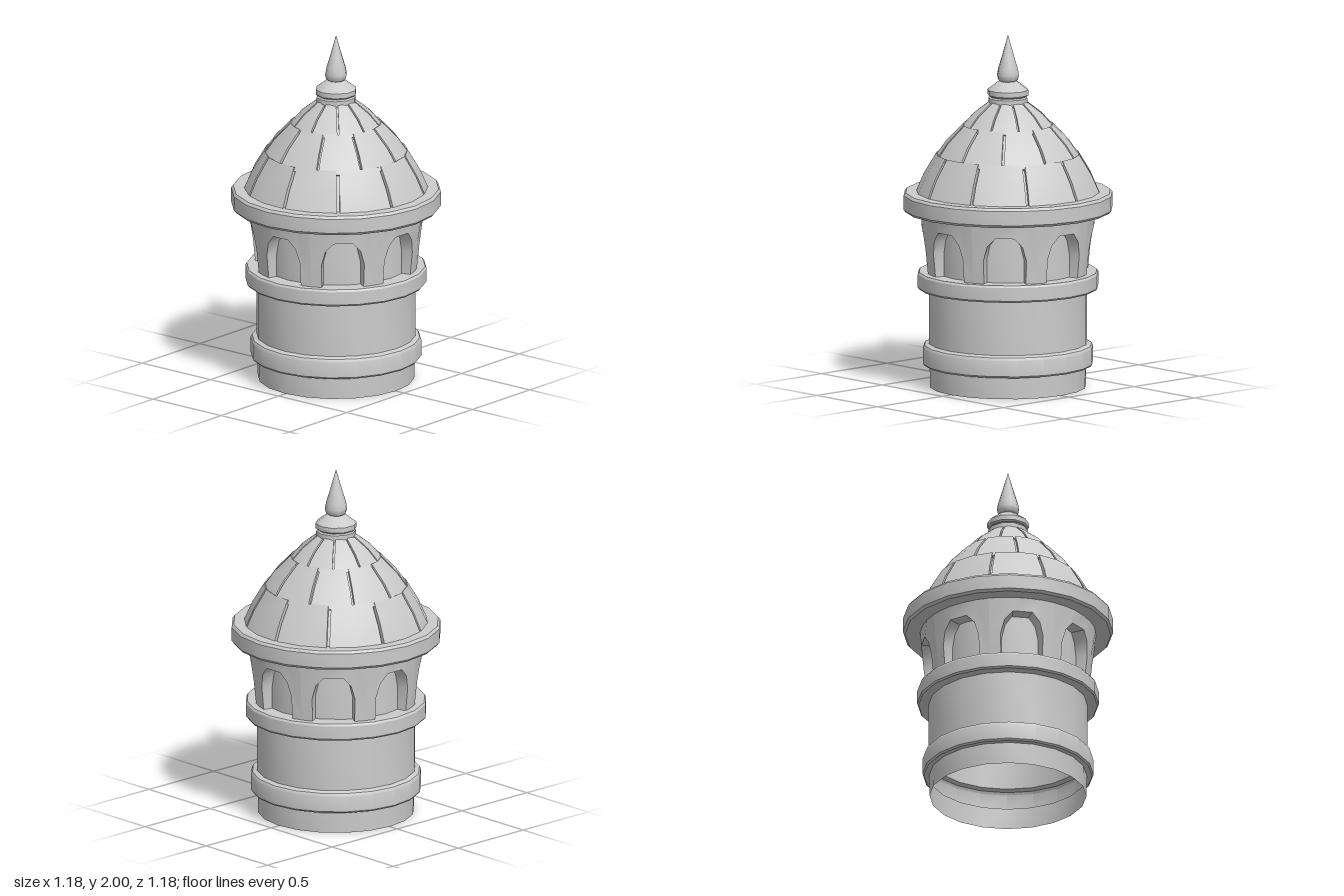
import * as THREE from 'three';
import { toCreasedNormals } from 'three/addons/utils/BufferGeometryUtils.js';

const SIDES = 20;
const material = new THREE.MeshStandardMaterial({ color: 0xcccccc, side: THREE.DoubleSide });

function part(name, geometry, crease = 0.55) {
  const mesh = new THREE.Mesh(toCreasedNormals(geometry, crease), material);
  mesh.name = name;
  return mesh;
}

// Turned part from [radius, height] pairs, listed bottom to top
function turned(name, points, sides = SIDES, crease) {
  const profile = points.map(([r, y]) => new THREE.Vector2(r, y));
  return part(name, new THREE.LatheGeometry(profile, sides), crease);
}

// Move every vertex by a rule
function reshape(geometry, rule) {
  const pos = geometry.attributes.position;
  const v = new THREE.Vector3();
  for (let i = 0; i < pos.count; i++) {
    rule(v.fromBufferAttribute(pos, i));
    pos.setXYZ(i, v.x, v.y, v.z);
  }
  return geometry;
}

// One bay of the arcade: an arched opening drawn as (angle, height), then bent round the tower
function archBay() {
  const rad = THREE.MathUtils.degToRad;
  const bottom = 0.65, top = 1.01;
  const arch = [[-14.8, bottom], [-14.8, 0.79], [-12, 0.87], [-6.5, 0.92],
    [6.5, 0.92], [12, 0.87], [14.8, 0.79], [14.8, bottom]];
  const outline = [[-22.5, bottom], ...arch, [22.5, bottom], [22.5, 0.8], [22.5, top],
    [14, top], [6, top], [-6, top], [-14, top], [-22.5, top], [-22.5, 0.8]];
  const shape = new THREE.Shape(outline.map(([a, y]) => new THREE.Vector2(rad(a), y)));
  const geometry = new THREE.ExtrudeGeometry(shape, { depth: 1, bevelEnabled: false });
  return reshape(geometry, (v) => {
    const outer = 0.46 + 0.035 * (v.y - bottom) / (top - bottom);
    const r = THREE.MathUtils.lerp(0.4, outer, v.z);
    v.set(r * Math.sin(v.x), v.y, r * Math.cos(v.x));
  });
}

// One curved roof slab following a three-point profile
function roofSlab(profile, angle, span, gap) {
  const curve = new THREE.SplineCurve(profile.map(([r, y]) => new THREE.Vector2(r, y)));
  return reshape(new THREE.BoxGeometry(1, 1, 1, 2, 2, 1), (v) => {
    const p = curve.getPoint(v.y + 0.5);
    const inset = 0.5 - v.z;
    const r = p.x - 0.025 * inset;
    const a = angle - v.x * (span - gap / p.x);
    v.set(r * Math.cos(a), p.y - 0.012 * inset, r * Math.sin(a));
  });
}

export function createModel() {
  const model = new THREE.Group();
  model.name = 'domedTower';

  // Hollow shaft with its lower band and balcony ring
  model.add(turned('shaft', [
    [0.44, 0], [0.443, 0.125], [0.472, 0.125], [0.48, 0.135], [0.48, 0.225], [0.472, 0.24],
    [0.447, 0.25], [0.447, 0.56], [0.502, 0.56], [0.51, 0.57], [0.51, 0.645],
    [0.502, 0.657], [0.4, 0.657],
  ]));
  model.add(turned('arcadeCore', [[0.41, 0.65], [0.41, 1.01]]));

  // Eight arched bays
  const arcade = new THREE.Group();
  arcade.name = 'arcade';
  for (let i = 0; i < 8; i++) {
    const bay = part('archBay', archBay());
    bay.rotation.y = i * Math.PI / 4;
    arcade.add(bay);
  }
  model.add(arcade);

  // Wide cornice under the roof
  model.add(turned('cornice', [
    [0.39, 1], [0.578, 1], [0.59, 1.014], [0.59, 1.095], [0.578, 1.11], [0.44, 1.11],
  ]));

  // Roof: an inner shell seen through the gaps, and three tiers of slabs
  model.add(turned('roofShell', [
    [0.495, 1.1], [0.445, 1.21], [0.382, 1.31], [0.322, 1.395], [0.24, 1.485], [0.172, 1.555], [0.09, 1.62],
  ]));
  const tiers = [
    { profile: [[0.52, 1.1], [0.472, 1.21], [0.403, 1.325]], offset: 12.3, gap: 0.016 },
    { profile: [[0.412, 1.302], [0.348, 1.395], [0.255, 1.492]], offset: -7, gap: 0.014 },
    { profile: [[0.264, 1.474], [0.195, 1.552], [0.105, 1.622]], offset: 11, gap: 0.01 },
  ];
  const span = Math.PI / 5;
  tiers.forEach(({ profile, offset, gap }) => {
    const tier = new THREE.Group();
    tier.name = 'roofTier';
    for (let i = 0; i < 10; i++) {
      const angle = THREE.MathUtils.degToRad(offset) + (i + 0.5) * span;
      tier.add(part('roofSlab', roofSlab(profile, angle, span, gap)));
    }
    model.add(tier);
  });

  // Collar, cap and pointed finial
  model.add(turned('collar', [[0.112, 1.59], [0.112, 1.642], [0.1, 1.648], [0.1, 1.655]], 10, 0.7));
  model.add(turned('cap', [
    [0, 1.652], [0.108, 1.652], [0.117, 1.66], [0.117, 1.688], [0.055, 1.735], [0, 1.74],
  ], 10, 0.7));
  model.add(turned('finial', [
    [0.035, 1.73], [0.056, 1.745], [0.063, 1.77], [0.056, 1.81], [0.036, 1.875], [0, 2],
  ], 10, 0.7));

  return model;
}
